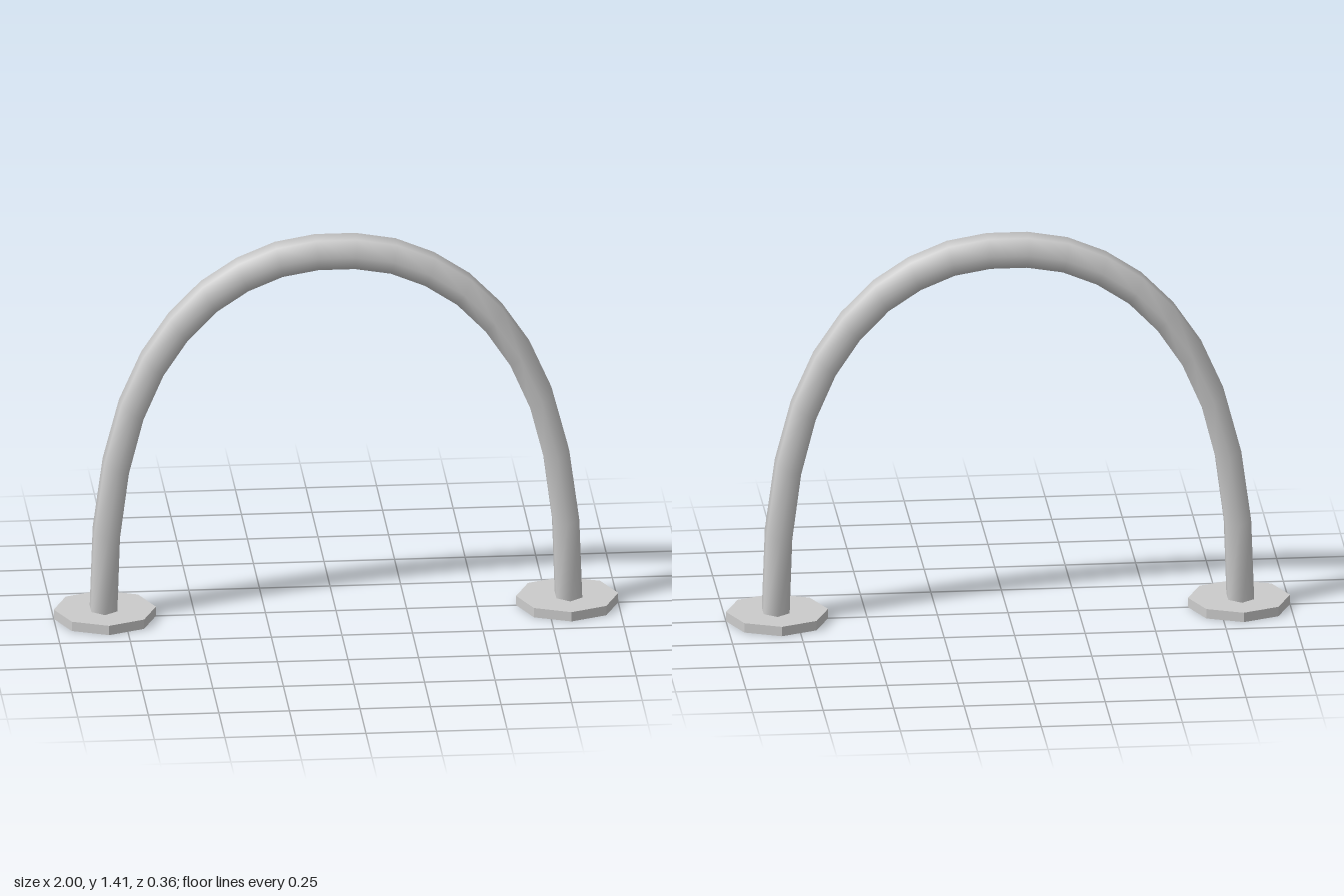
import * as THREE from 'three';

const RINGS = 20, SIDES = 6;
// Heights of the arch centre line, from the foot to the crown
const HEIGHTS = [0, 0.32, 0.57, 0.78, 0.95, 1.087, 1.197, 1.276, 1.329, 1.352];

// Hexagonal tube swept along the arch, slightly thinner at the feet
function archGeometry() {
  const positions = [], index = [];
  for (let i = 0; i < RINGS; i++) {
    const t = (i - (RINGS - 1) / 2) * Math.PI / (RINGS - 1);
    const y = HEIGHTS[Math.min(i, RINGS - 1 - i)];
    for (let k = 0; k < SIDES; k++) {
      const a = k * 2 * Math.PI / SIDES;
      const s = Math.sin(a) / Math.sin(Math.PI / 3);
      positions.push(
        (0.825 + 0.046 * s) * Math.sin(t),
        y + 0.055 * s * Math.cos(t),
        0.072 * Math.cos(a)
      );
      if (i < RINGS - 1) {
        const p = i * SIDES + k, q = i * SIDES + (k + 1) % SIDES;
        index.push(p, p + SIDES, q, q, p + SIDES, q + SIDES);
      }
    }
  }
  const geo = new THREE.BufferGeometry();
  geo.setAttribute('position', new THREE.Float32BufferAttribute(positions, 3));
  geo.setIndex(index);
  geo.computeVertexNormals();
  return geo;
}

export function createModel() {
  const group = new THREE.Group();
  group.name = 'archedRail';

  const arch = new THREE.Mesh(
    archGeometry(),
    new THREE.MeshStandardMaterial({ color: 0xcccccc, side: THREE.DoubleSide })
  );
  arch.name = 'arch';
  group.add(arch);

  // Octagonal base plate under each foot
  const plateMaterial = new THREE.MeshStandardMaterial({ color: 0xcccccc, flatShading: true });
  const plateGeometry = new THREE.CylinderGeometry(0.181, 0.181, 0.035, 8);
  for (const side of [1, -1]) {
    const plate = new THREE.Mesh(plateGeometry, plateMaterial);
    plate.name = side > 0 ? 'leftBasePlate' : 'rightBasePlate';
    plate.position.set(side * 0.819, 0.0175, 0);
    group.add(plate);
  }
  return group;
}
